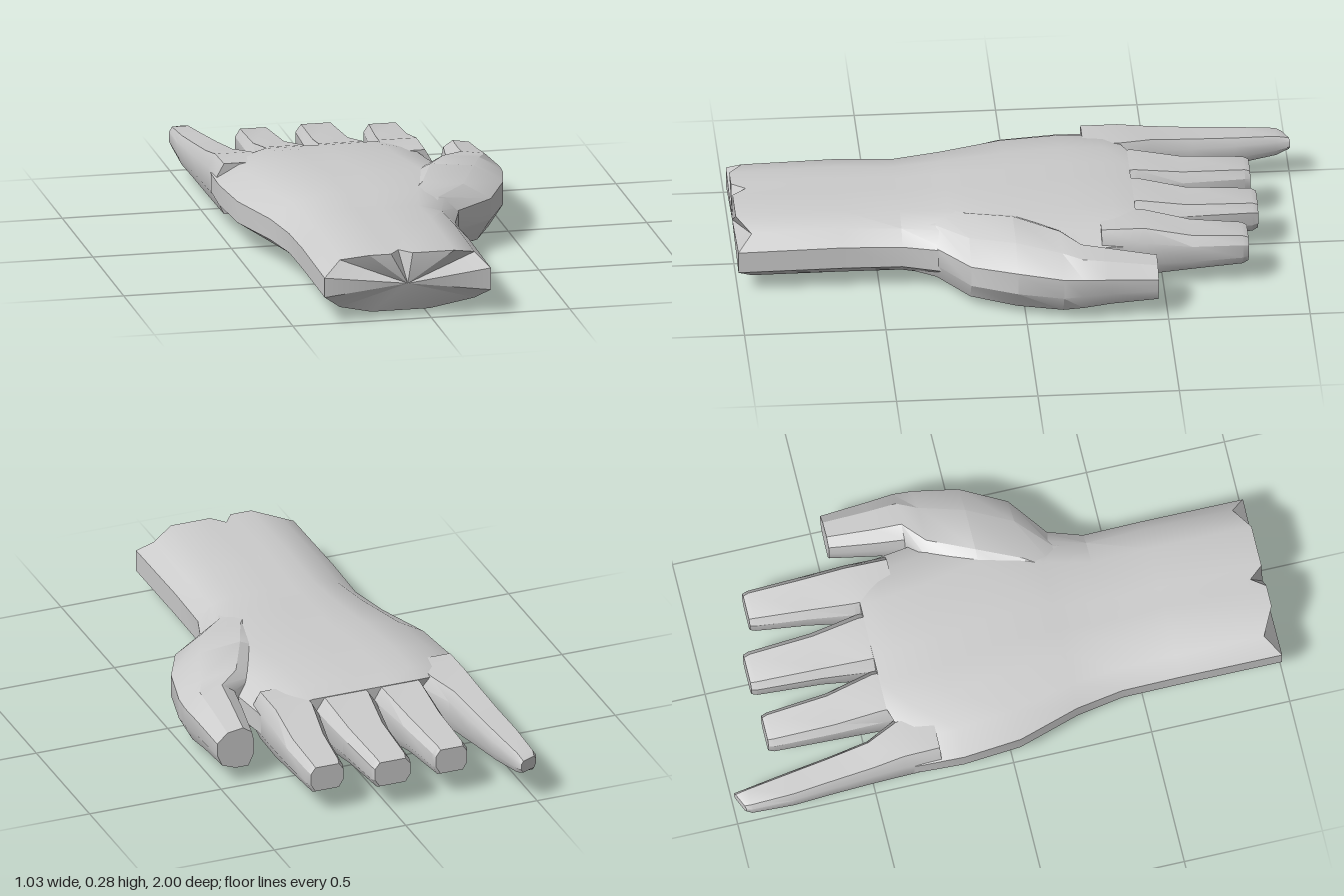
import * as THREE from 'three';
import { toCreasedNormals } from 'three/addons/utils/BufferGeometryUtils.js';

// Cross-section outlines in unit space, counter-clockwise seen from +z
const PALM = [[1, .31], [1, .67], [.92, .89], [.78, 1], [.53, 1], [.46, 1], [.4, 1], [.27, 1],
  [.11, .89], [0, .67], [0, .35], [.11, .11], [.3, 0], [.65, 0], [.92, .13]];
const FINGER = [[1, .3], [1, .75], [.86, 1], [.14, 1], [0, .75], [0, .3], [.14, 0], [.86, 0]];
const THUMB = [[1, .4], [1, .7], [.72, .94], [.3, 1], [.06, .85], [0, .6], [0, .3], [.15, 0], [.5, 0], [.86, .12]];

// Ring: [z, xMin, xMax, yMin, yMax, optional z shift (index, u)], listed from +z to -z
function loft(name, outline, rings, material) {
  const n = outline.length;
  const pos = [];
  const index = [];
  for (const [z, x0, x1, y0, y1, shift] of rings) {
    outline.forEach(([u, v], i) => pos.push(
      x0 + (x1 - x0) * u, y0 + (y1 - y0) * v, z + (shift ? shift(i, u) : 0)));
  }
  for (let r = 0; r < rings.length - 1; r++) {
    for (let i = 0; i < n; i++) {
      const a = r * n + i, b = r * n + (i + 1) % n;
      index.push(a, a + n, b, b, a + n, b + n);
    }
  }
  // end caps
  for (const end of [0, rings.length - 1]) {
    const [z, x0, x1, y0, y1] = rings[end];
    const c = pos.length / 3;
    pos.push((x0 + x1) / 2, (y0 + y1) / 2, z);
    for (let i = 0; i < n; i++) {
      const a = end * n + i, b = end * n + (i + 1) % n;
      if (end === 0) index.push(c, a, b);
      else index.push(c, b, a);
    }
  }
  const geo = new THREE.BufferGeometry();
  geo.setAttribute('position', new THREE.Float32BufferAttribute(pos, 3));
  geo.setIndex(index);
  const mesh = new THREE.Mesh(toCreasedNormals(geo, 0.55), material);
  mesh.name = name;
  return mesh;
}

export function createModel() {
  const group = new THREE.Group();
  group.name = 'hand';
  const material = new THREE.MeshStandardMaterial({ color: 0xcccccc });
  const add = (name, outline, rings) => group.add(loft(name, outline, rings, material));

  // Wrist and palm, with a ragged cut at the wrist
  const ragged = new Set([2, 5, 8, 11, 12, 13, 14]);
  add('wristAndPalm', PALM, [
    [1, -.385, .215, .02, .242, (i) => (ragged.has(i) ? -.05 : 0)],
    [.63, -.385, .215, .02, .25],
    [.42, -.385, .215, .02, .24],
    [.25, -.415, .27, .015, .252],
    [.03, -.485, .36, .018, .26],
    [-.18, -.505, .31, .03, .257],
    [-.33, -.5, .29, .04, .25],
    [-.41, -.495, .287, .046, .238, (i, u) => (u < .25 ? .04 : 0)],
  ]);

  // Thumb, growing out of the heel of the palm
  add('thumb', THUMB, [
    [.43, .0, .2, .04, .225],
    [.3, .0, .25, .015, .245],
    [.19, .04, .395, .003, .257],
    [.03, .1, .475, 0, .275],
    [-.13, .2, .51, .005, .255],
    [-.2, .315, .515, .025, .245],
    [-.3, .33, .508, .04, .23],
    [-.465, .36, .5, .055, .208],
  ]);

  // Index, middle and ring fingers: x range at root, knuckle, middle and tip
  const fingers = [
    ['indexFinger', -.8, [.1, .288], [.1, .29], [.13, .29], [.15, .285]],
    ['middleFinger', -.85, [-.12, .1], [-.12, .1], [-.097, .077], [-.085, .062]],
    ['ringFinger', -.84, [-.315, -.12], [-.315, -.12], [-.31, -.155], [-.305, -.175]],
  ];
  for (const [name, tip, root, knuckle, mid, end] of fingers) {
    add(name, FINGER, [
      [-.28, ...root, .05, .235],
      [-.43, ...knuckle, .048, .236],
      [-.6, ...mid, .066, .202],
      [tip + .02, ...end, .08, .192],
      [tip, end[0] + .006, end[1] - .006, .09, .183],
    ]);
  }

  // Little finger, splayed outwards with a slanted tip
  add('littleFinger', FINGER, [
    [-.26, -.495, -.31, .05, .235],
    [-.39, -.497, -.315, .05, .234],
    [-.5, -.5, -.367, .06, .216],
    [-.65, -.507, -.39, .07, .2],
    [-.8, -.517, -.41, .08, .187],
    [-.95, -.515, -.433, .1, .176],
    [-.985, -.508, -.44, .12, .165, (i, u) => (.5 - u) * .03],
  ]);
  return group;
}
